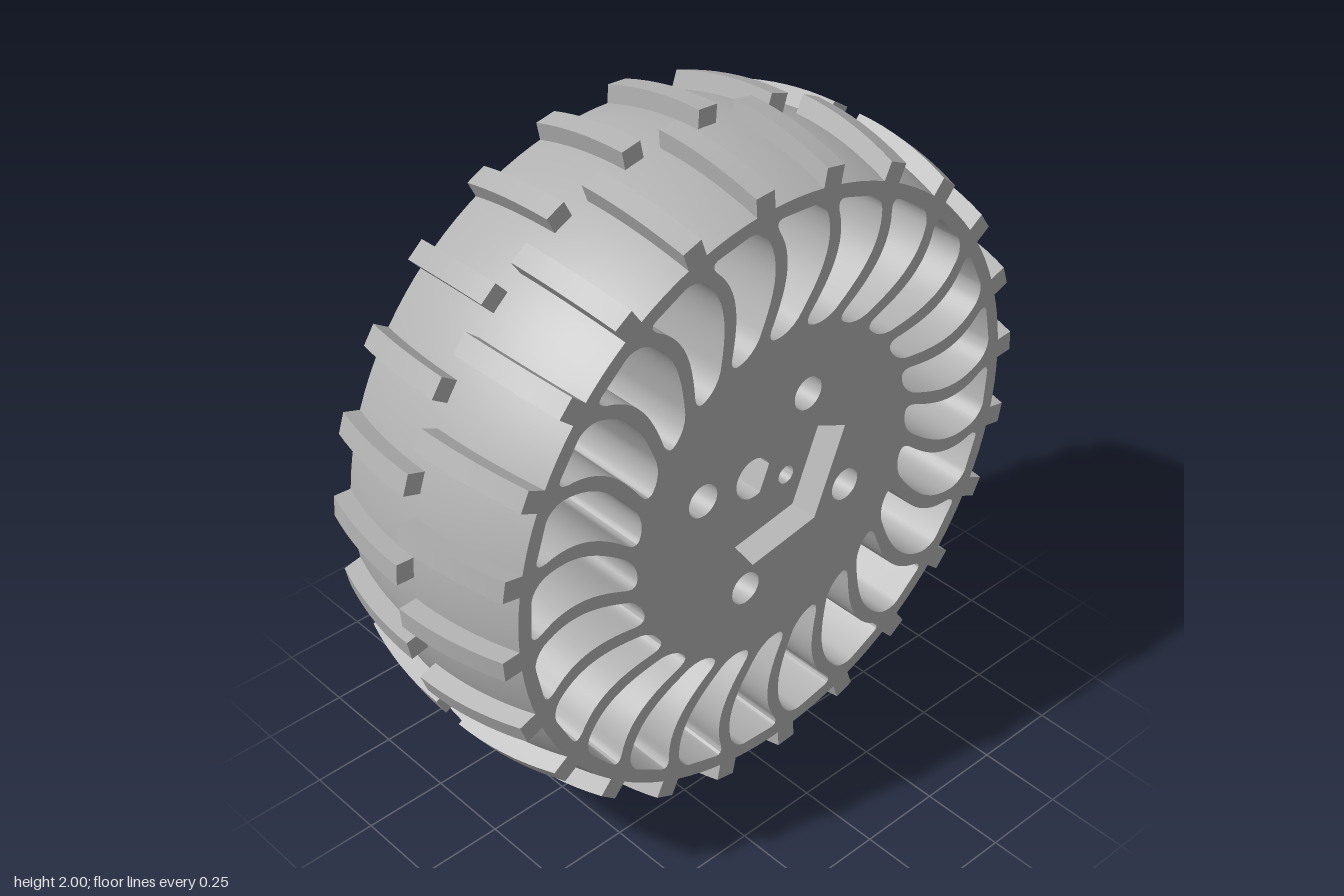
import * as THREE from 'three';
import { toCreasedNormals } from 'three/addons/utils/BufferGeometryUtils.js';

const COUNT = 24, STEP = (Math.PI * 2) / COUNT;
const HALF = 0.345;                    // half of the wheel width
const FRONT_PHASE = THREE.MathUtils.degToRad(10.9);
const BACK_PHASE = THREE.MathUtils.degToRad(3.8);
const R_CAP = 0.89, R_HUB = 0.45;

// Angles run clockwise from the top
const polar = (r, a) => new THREE.Vector2(r * Math.sin(a), r * Math.cos(a));

const ngon = (x, y, r, n, start = 0) => Array.from({ length: n }, (_, i) => {
  const a = start + (i / n) * Math.PI * 2;
  return new THREE.Vector2(x + r * Math.cos(a), y + r * Math.sin(a));
});

// Plate between two depths, with outline and holes given as point lists
function plate(outline, holes, z0, z1) {
  const shape = new THREE.Shape(outline);
  holes.forEach((h) => shape.holes.push(new THREE.Path(h)));
  const geo = new THREE.ExtrudeGeometry(shape, { depth: z1 - z0, bevelEnabled: false });
  geo.translate(0, 0, z0);
  return toCreasedNormals(geo, 0.6);
}

// Opening between two curved spokes, with rounded corners
function spokeWindow(phase) {
  const r0 = 0.5, r1 = 0.85, halfSpoke = 0.021, fIn = 0.038, fOut = 0.036;
  const round = (d, f) => (d >= f ? 0 : f - Math.sqrt(f * f - (f - d) ** 2));
  const bend = (r) => {
    const u = (r - r0) / (r1 - r0);
    return -0.08 * (1 - u) + 0.4 * u * (1 - u);
  };
  const n = 20, first = [], second = [];
  for (let i = 0; i <= n; i++) {
    const r = r0 + (r1 - r0) * (0.5 - 0.5 * Math.cos((Math.PI * i) / n));
    const inset = (halfSpoke + round(r - r0, fIn) + round(r1 - r, fOut)) / r;
    first.push(polar(r, phase + bend(r) + inset));
    second.push(polar(r, phase + STEP + bend(r) - inset));
  }
  return [...first, ...second.reverse()];
}

// Crown of the tread: radius falls towards both sides
const crown = (z, top) => top - 0.057 * (z / HALF) ** 2;

// Tread bar covering one half of the width; side is 1 for front, -1 for back
function lugGeometry(side) {
  const pts = [new THREE.Vector2(0, 0.885), new THREE.Vector2(HALF, 0.885)];
  for (let i = 8; i >= 0; i--) {
    const z = (HALF * i) / 8;
    pts.push(new THREE.Vector2(z, crown(z, 1)));
  }
  const geo = plate(pts, [], -0.031, 0.031);
  geo.rotateY((-side * Math.PI) / 2);
  return geo;
}

export function createModel() {
  const model = new THREE.Group();
  const wheel = new THREE.Group();
  wheel.name = 'wheel';
  wheel.position.y = 1;
  model.add(wheel);

  const grey = new THREE.MeshStandardMaterial({ color: 0xb2b2b2 });
  grey.name = 'grey plastic';
  const add = (name, geo, parent = wheel) => {
    const mesh = new THREE.Mesh(geo, grey);
    mesh.name = name;
    parent.add(mesh);
    return mesh;
  };

  // Rim and curved spokes
  const windows = Array.from({ length: COUNT }, (_, i) => spokeWindow(FRONT_PHASE + i * STEP));
  const hubCircle = ngon(0, 0, R_HUB, 96);
  add('rimAndSpokes', plate(ngon(0, 0, R_CAP, 120), [...windows, hubCircle], -HALF, HALF));

  // Hub in three layers: pocket, bore, nut seats
  const bolts = [[-0.27, 0.115], [0.107, 0.275], [0.266, -0.105], [-0.111, -0.265]];
  const pins = [[-0.123, 0.057], [0.12, -0.045]];
  const pocket = [[-0.1, 0.268], [0.256, 0.1], [0.15, -0.16], [-0.085, -0.198], [-0.225, 0]]
    .map(([x, y]) => new THREE.Vector2(x, y));
  const boltHoles = bolts.map(([x, y]) => ngon(x, y, 0.028, 24));
  const flatDir = -0.4;
  const bore = Array.from({ length: 29 }, (_, i) => {
    const a = flatDir + 0.75 + (i / 28) * (Math.PI * 2 - 1.5);
    return new THREE.Vector2(-0.005 + 0.063 * Math.cos(a), 0.005 + 0.063 * Math.sin(a));
  });
  const zFloor = HALF - 0.085, zSeat = -HALF + 0.1;
  add('hubFront', plate(hubCircle,
    [pocket, ...bolts.map(([x, y]) => ngon(x, y, 0.05, 32))], zFloor, HALF));
  add('hubCore', plate(hubCircle,
    [bore, ...boltHoles, ...pins.map(([x, y]) => ngon(x, y, 0.028, 24))], zSeat, zFloor));
  add('hubBack', plate(hubCircle,
    [...boltHoles, ...pins.map(([x, y]) => ngon(x, y, 0.042, 6, flatDir))], -HALF, zSeat));

  // Crowned tyre surface
  const profile = Array.from({ length: 17 }, (_, i) => {
    const z = -HALF + (2 * HALF * i) / 16;
    return new THREE.Vector2(crown(z, R_CAP + 0.057), z);
  });
  const tyre = new THREE.LatheGeometry(profile, 120);
  tyre.rotateX(Math.PI / 2);
  add('tyre', tyre);

  // Staggered tread bars on the front and back halves
  for (const [name, side, phase] of [['frontTread', 1, FRONT_PHASE], ['backTread', -1, BACK_PHASE]]) {
    const tread = new THREE.Group();
    tread.name = name;
    wheel.add(tread);
    const geo = lugGeometry(side);
    for (let i = 0; i < COUNT; i++) {
      add('treadBar', geo, tread).rotation.z = -(phase + i * STEP);
    }
  }
  return model;
}
